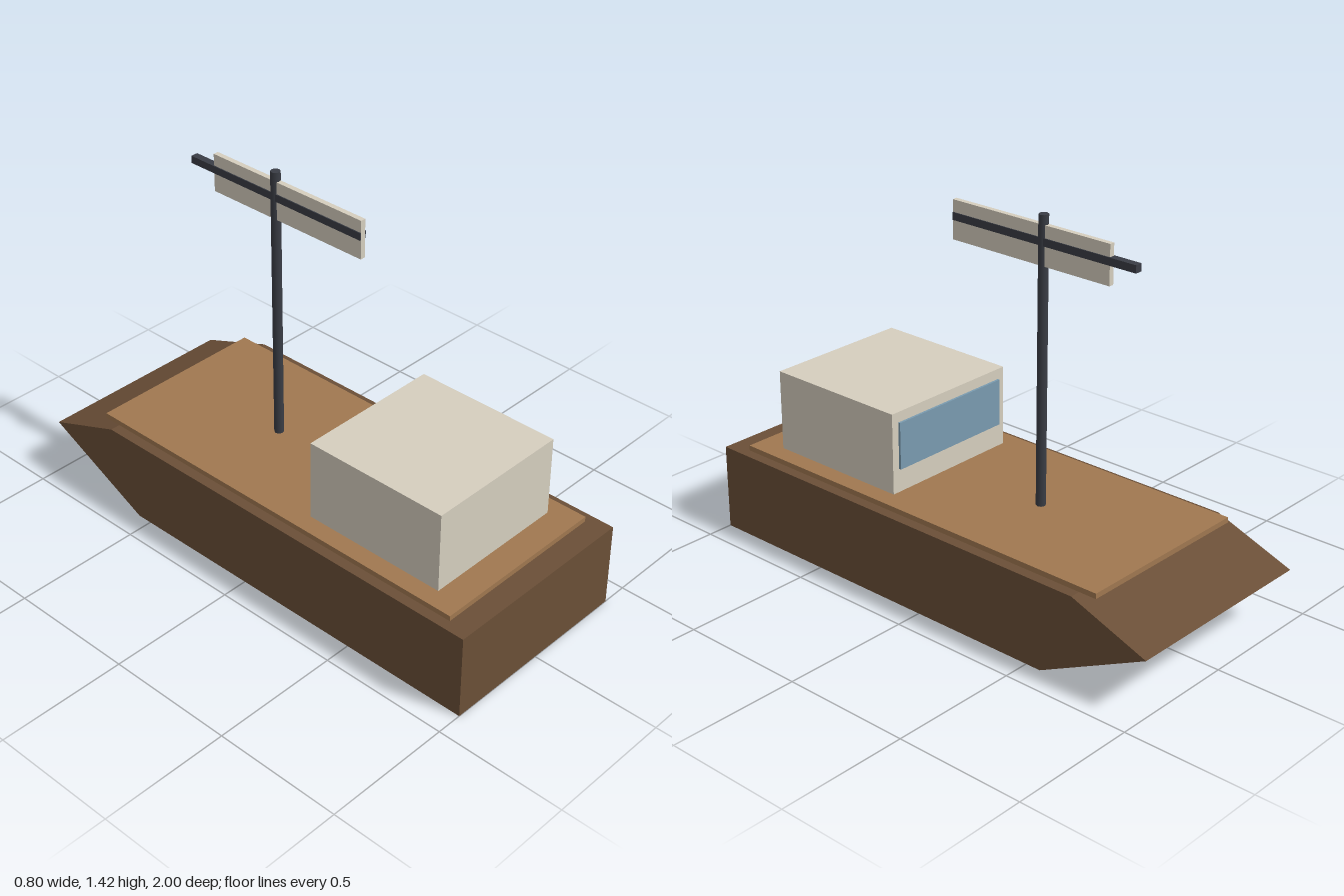
import * as THREE from 'three';

function material(name, color) {
  const m = new THREE.MeshStandardMaterial({ color });
  m.name = name;
  return m;
}

export function createModel() {
  const boat = new THREE.Group();
  boat.name = 'boat';

  const hullBrown = material('hull brown', 0x6b4f37);
  const deckTan = material('deck tan', 0xa07850);
  const cream = material('cream', 0xd6cfbf);
  const darkSpar = material('dark spar', 0x3a3d45);
  const glassBlue = material('glass blue', 0x7a9bb0);

  function add(name, geometry, mat) {
    const mesh = new THREE.Mesh(geometry, mat);
    mesh.name = name;
    boat.add(mesh);
    return mesh;
  }

  // Box given by its half width and its y and z ranges, centred on x = 0
  function addBox(name, halfWidth, [y0, y1], [z0, z1], mat) {
    const box = add(name, new THREE.BoxGeometry(2 * halfWidth, y1 - y0, z1 - z0), mat);
    box.position.set(0, (y0 + y1) / 2, (z0 + z1) / 2);
  }

  // Hull: side profile (z, y) with a wedge bow, extruded across the beam
  const profile = new THREE.Shape(
    [[1, 0], [1, 0.33], [-0.69, 0.33], [-1, 0.215], [-0.56, 0]].map(([z, y]) => new THREE.Vector2(z, y))
  );
  const hull = new THREE.ExtrudeGeometry(profile, { depth: 0.8, bevelEnabled: false });
  hull.rotateY(-Math.PI / 2).translate(0.4, 0, 0);
  add('hull', hull, hullBrown);

  addBox('deck', 0.36, [0.33, 0.35], [-0.76, 0.91], deckTan);

  // Cabin with a window facing the bow
  addBox('cabin', 0.29, [0.35, 0.66], [0.222, 0.8], cream);
  addBox('cabinWindow', 0.26, [0.44, 0.62], [0.213, 0.222], glassBlue);

  // Mast, boom and furled sail
  const mast = add('mast', new THREE.CylinderGeometry(0.018, 0.018, 1.07, 8), darkSpar);
  mast.position.set(0, 0.885, -0.215);
  addBox('boom', 0.014, [1.312, 1.34], [-0.615, 0.185], darkSpar);
  addBox('sail', 0.01, [1.24, 1.385], [-0.505, 0.186], cream);

  return boat;
}
